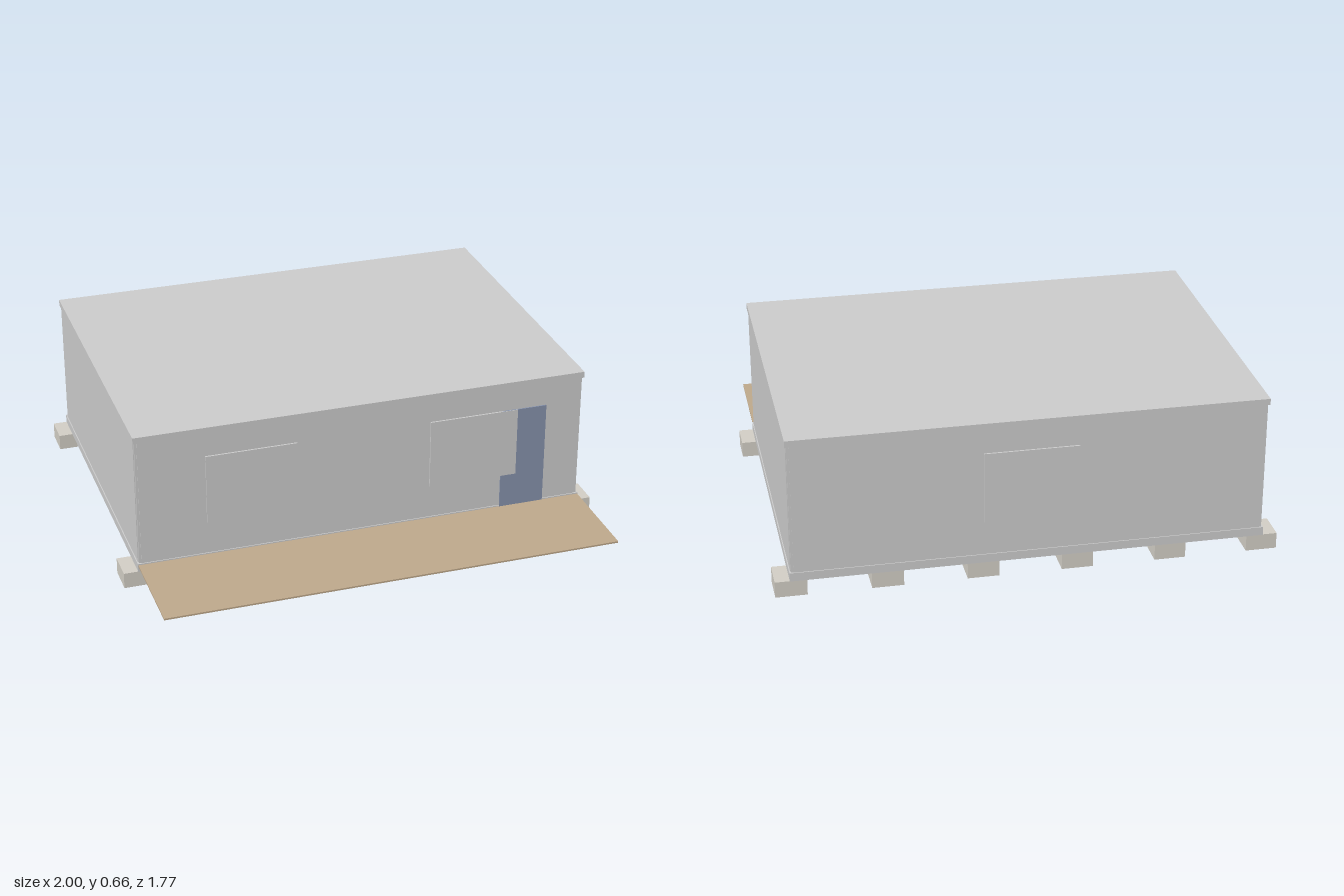
import * as THREE from 'three';

const grey = new THREE.MeshStandardMaterial({ color: 0xcccccc });
const paint = (color) => new THREE.MeshStandardMaterial({ color });
const concrete = paint(0xd2cec5);
const floorMat = paint(0xcdc6b2);
const timber = paint(0xbea88b);
const blue = paint(0x8591ab);

// Box given by its min and max corners
function box(name, [x0, y0, z0], [x1, y1, z1], material = grey) {
  const mesh = new THREE.Mesh(new THREE.BoxGeometry(x1 - x0, y1 - y0, z1 - z0), material);
  mesh.position.set((x0 + x1) / 2, (y0 + y1) / 2, (z0 + z1) / 2);
  mesh.name = name;
  return mesh;
}

export function createModel() {
  const model = new THREE.Group();
  const X = 0.942, ZF = 0.472, ZB = -0.882;   // cabin footprint
  const Y0 = 0.065, Y1 = 0.1, Y2 = 0.635, Y3 = 0.661;
  const inset = 0.004, notch = 0.016, thick = 0.03;

  // Two rows of foundation blocks
  const blocks = new THREE.Group();
  blocks.name = 'foundationBlocks';
  for (const x of [-0.9375, -0.5625, -0.1875, 0.1875, 0.5625, 0.9375]) {
    for (const z of [ZF - 0.064, ZB + 0.064]) {
      blocks.add(box('foundationBlock', [x - 0.0625, 0, z - 0.0625], [x + 0.0625, Y0 + 0.001, z + 0.0625], concrete));
    }
  }
  model.add(blocks);

  // Floor with a grey rim, and the roof slab
  model.add(box('floor', [-X + 0.01, Y0, ZB + 0.01], [X - 0.01, Y1 - 0.005, ZF - 0.01], floorMat));
  for (const s of [-1, 1]) {
    const xs = s * (X - 0.005), zs = s > 0 ? ZF - 0.005 : ZB + 0.005;
    model.add(box('sideFloorRail', [xs - 0.005, Y0, ZB], [xs + 0.005, Y1, ZF]));
    model.add(box('floorRail', [-X + 0.01, Y0, zs - 0.005], [X - 0.01, Y1, zs + 0.005]));
  }
  model.add(box('roof', [-X, Y2, ZB], [X, Y3, ZF]));

  // Wall panels, slightly recessed between the rails and the roof
  const zf = ZF - inset, zb = ZB + inset, xw = X - inset;
  model.add(box('frontWall', [-X + notch, Y1 - 0.02, zf - thick], [X - notch, Y2, zf]));
  model.add(box('backWall', [-X + notch, Y1 - 0.02, zb], [X - notch, Y2, zb + thick]));
  for (const s of [-1, 1]) {
    const x = s * (xw - thick / 2);
    model.add(box('sideWall', [x - thick / 2, Y1 - 0.02, ZB + notch], [x + thick / 2, Y2, ZF - notch]));
    // Corner posts sit back in the notches
    for (const z of [ZF - 0.017, ZB + 0.017]) {
      const px = s * (X - 0.017);
      model.add(box('cornerPost', [px - 0.01, Y1 - 0.02, z - 0.01], [px + 0.01, Y2, z + 0.01]));
    }
  }

  // Door, partly covered by the neighbouring window panel
  model.add(box('door', [0.59, 0.095, zf - 0.01], [0.78, 0.535, ZF + 0.001], blue));
  for (const x of [-0.655, 0.28]) {
    model.add(box('frontWindow', [x, 0.24, zf - 0.01], [x + 0.375, 0.535, ZF + 0.003]));
  }
  model.add(box('backWindow', [-0.19, 0.24, ZB - 0.003], [0.185, 0.535, zb + 0.01]));

  // Thin terrace deck in front
  model.add(box('deck', [-0.94, 0.088, ZF], [0.94, 0.095, 0.884], timber));

  return model;
}
